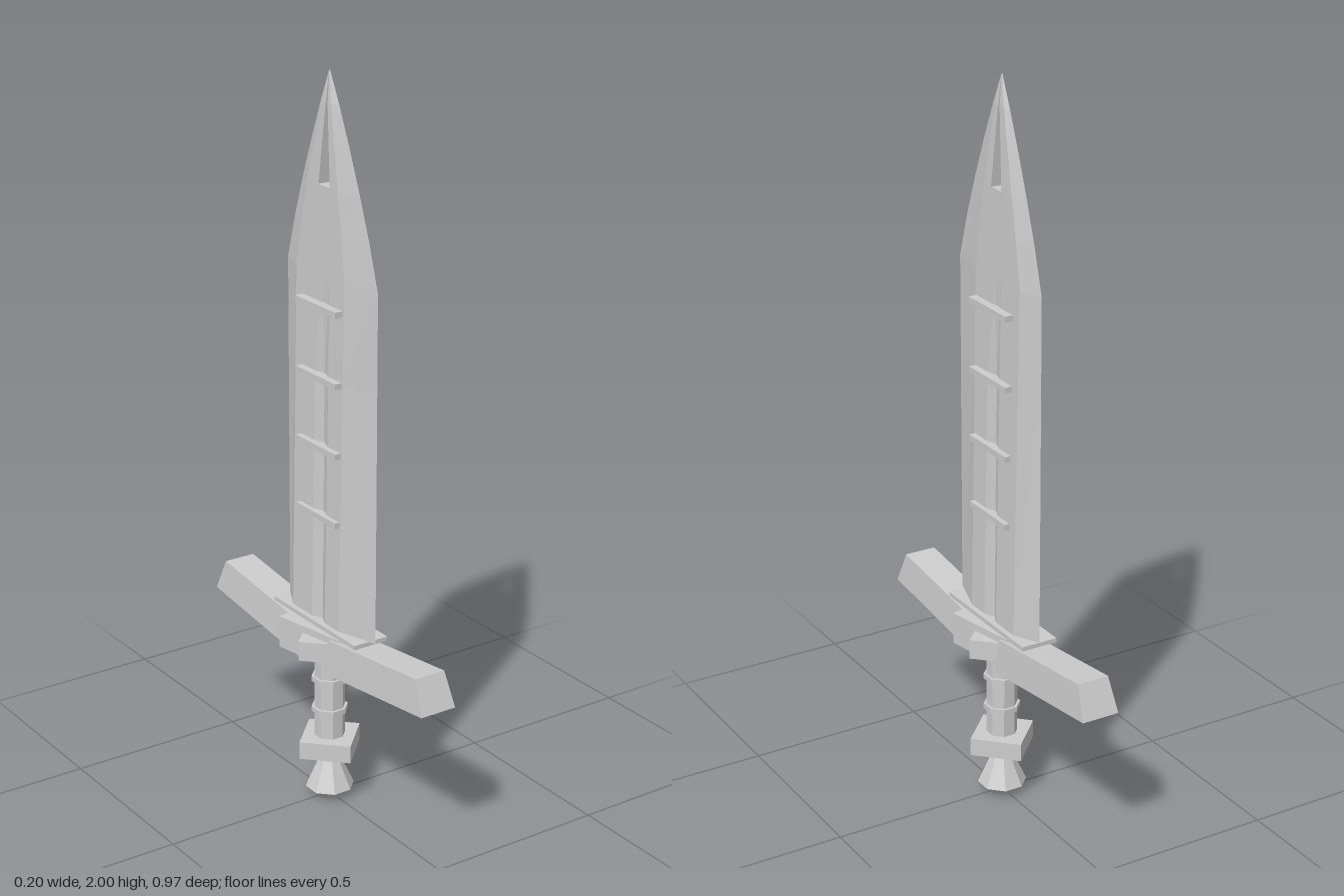
import * as THREE from 'three';

// Skin a list of rings (each counter-clockwise around the loft direction) with flat facets and end caps.
function loft(rings) {
  const pos = [];
  const tri = (...pts) => pts.forEach((p) => pos.push(...p));
  const n = rings[0].length;
  for (let i = 0; i < rings.length - 1; i++) {
    for (let j = 0; j < n; j++) {
      const k = (j + 1) % n;
      const a = rings[i][j], b = rings[i][k], c = rings[i + 1][k], d = rings[i + 1][j];
      tri(a, b, c);
      tri(a, c, d);
    }
  }
  const first = rings[0], last = rings[rings.length - 1];
  for (let j = 1; j < n - 1; j++) {
    tri(first[0], first[j + 1], first[j]);
    tri(last[0], last[j], last[j + 1]);
  }
  const geo = new THREE.BufferGeometry();
  geo.setAttribute('position', new THREE.Float32BufferAttribute(pos, 3));
  geo.computeVertexNormals();
  return geo;
}

export function createModel() {
  const model = new THREE.Group();
  model.name = 'sword';
  const steel = new THREE.MeshStandardMaterial({ color: 0xcccccc, flatShading: true });
  steel.name = 'steel';

  const add = (name, geo, y = 0, turn = 0) => {
    const mesh = new THREE.Mesh(geo, steel);
    mesh.name = name;
    mesh.position.y = y;
    mesh.rotation.y = turn;
    model.add(mesh);
    return mesh;
  };

  // Blade levels: height, half thickness, width scale, slot half width, groove thickness ratio
  const levels = [
    [0.53, 0.037, 1, 0, 0.6],
    [1.21, 0.025, 1, 0, 0.65],
    [1.48, 0.021, 1, 0, 1],
    [1.6, 0.019, 0.82, 0, 1],
    [1.71, 0.017, 0.625, 0, 1],
    [1.71, 0.017, 0.625, 0.025, 1],
    [1.82, 0.013, 0.41, 0.014, 1],
    [1.92, 0.009, 0.2, 0.004, 1],
    [2.0, 0.001, 0.008, 0, 1],
  ];
  // Two halves, split by the slot near the tip; the bevels differ in width
  const bladeHalf = (side, edge, ridge) => loft(levels.map(([y, t, w, slot, groove]) => {
    const shoulder = slot + 0.03 * w;
    const r = Math.max(ridge * w, shoulder);
    const ring = [
      [0, edge * w], [t, r], [t, shoulder], [t * groove, slot],
      [-t * groove, slot], [-t, shoulder], [-t, r],
    ].map(([x, z]) => [x, y, z * side]);
    return side > 0 ? ring : ring.reverse();
  }));
  add('bladeFrontHalf', bladeHalf(1, 0.21, 0.095));
  add('bladeBackHalf', bladeHalf(-1, 0.19, 0.12));

  // Cross bars through the blade
  for (const y of [0.83, 1.02, 1.21, 1.4]) {
    add('bladeBar', new THREE.BoxGeometry(0.09, 0.016, 0.18), y);
  }

  // Blade seat and tang
  add('bladeSeat', new THREE.BoxGeometry(0.104, 0.012, 0.38), 0.524);
  add('tang', new THREE.BoxGeometry(0.04, 0.08, 0.06), 0.51);

  // Guard: two rising arms with a trapezoid section
  const armRing = (zBottom, yBottom, zTop, yTop) => [
    [-0.053, yBottom, zBottom], [0.053, yBottom, zBottom],
    [0.045, yTop, zTop], [-0.045, yTop, zTop],
  ];
  const armGeo = loft([armRing(0.05, 0.395, 0.06, 0.492), armRing(0.485, 0.447, 0.447, 0.538)]);
  add('guardArmFront', armGeo);
  add('guardArmBack', armGeo, 0, Math.PI);

  // Guard centre: a slightly turned block and a diamond block
  add('guardBlock', new THREE.BoxGeometry(0.1, 0.09, 0.28), 0.455, 0.2);
  add('guardDiamond', new THREE.BoxGeometry(0.142, 0.055, 0.142), 0.453, Math.PI / 4);

  // Grip with two rings
  add('grip', new THREE.CylinderGeometry(0.042, 0.042, 0.25, 8), 0.295, Math.PI / 8);
  for (const y of [0.26, 0.35]) {
    add('gripRing', new THREE.CylinderGeometry(0.05, 0.05, 0.014, 8), y, Math.PI / 8);
  }

  // Pommel: diamond block over a flared foot
  add('pommelBlock', new THREE.BoxGeometry(0.14, 0.05, 0.14), 0.156, Math.PI / 4);
  add('pommelNeck', new THREE.CylinderGeometry(0.04, 0.04, 0.01, 8), 0.127, Math.PI / 8);
  const foot = [[0, 0], [0.04, 0], [0.067, 0.026], [0.022, 0.125], [0, 0.125]];
  add('pommelFoot', new THREE.LatheGeometry(foot.map(([r, y]) => new THREE.Vector2(r, y)), 8), 0, Math.PI / 8);

  return model;
}
